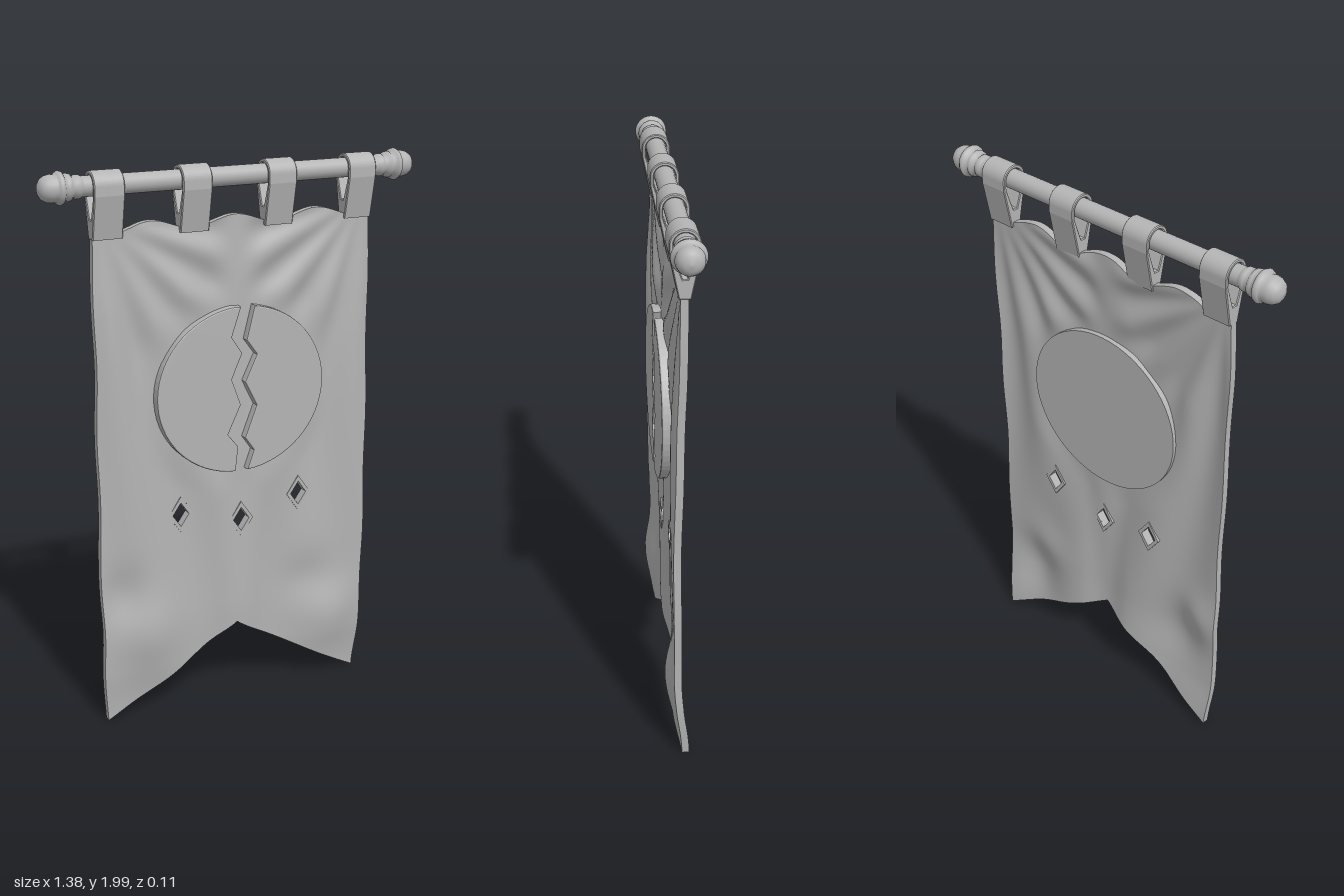
import * as THREE from 'three';

const DIAMONDS = [[-0.215, 0.765], [0.015, 0.715], [0.25, 0.775]];
const smooth = THREE.MathUtils.smoothstep;
const bump = (x, y, cx, cy, rx, ry) => Math.exp(-(((x - cx) / rx) ** 2) - ((y - cy) / ry) ** 2);

// Depth of the cloth's middle surface: folds fan out from the top corners
function foldZ(x, y) {
  const drop = Math.max(1.85 - y, 0.02);
  const a = Math.atan2(0.5 - Math.abs(x), drop);
  const r = Math.hypot(0.5 - Math.abs(x), drop);
  const s = x < 0 ? 0 : 0.7;
  let z = 0.011 * Math.sin(a * 17 + s) * smooth(r, 0.05, 0.5) * smooth(Math.abs(x), 0, 0.12);
  z += 0.005 * Math.sin(x * 21 + y * 4) * smooth(1.9 - y, 0, 0.6);
  // calm area behind the emblem
  const d = Math.hypot(x / 0.32, (y - 1.21) / 0.3);
  z *= 0.15 + 0.85 * smooth(d, 0.85, 1.35);
  // billows in the lower corners
  z += 0.022 * bump(x, y, -0.36, 0.33, 0.12, 0.14) + 0.02 * bump(x, y, 0.4, 0.27, 0.1, 0.12);
  z -= 0.018 * bump(x, y, -0.44, 0.5, 0.08, 0.1) + 0.018 * bump(x, y, 0.3, 0.42, 0.1, 0.1);
  return z + 0.01 * smooth(y, 0.1, 0.4) * smooth(1.9 - y, 0.05, 0.4) - 0.015 * (1 - smooth(y, 0, 0.2));
}

// Swallow-tailed cloth with diamond openings
function clothGeometry() {
  const geo = new THREE.BoxGeometry(1, 1, 0.026, 86, 130, 1);
  const p = geo.attributes.position;
  for (let i = 0; i < p.count; i++) {
    const u = p.getX(i) * 2, v = p.getY(i) + 0.5;
    const top = 1.8 + 0.018 * Math.cos(u * 0.52 * 20.2);
    const bottom = 0.31 - 0.3 * Math.pow(Math.abs(u), 0.93);
    const y = bottom + (top - bottom) * v;
    const half = 0.52 - 0.014 * (1 - smooth(y, 0, 0.25)) + 0.003 * Math.sin(y * 13);
    const x = u * half;
    p.setXYZ(i, x, y, p.getZ(i) + foldZ(x, y));
  }
  const old = geo.index.array, kept = [];
  for (let i = 0; i < old.length; i += 3) {
    const t = [old[i], old[i + 1], old[i + 2]];
    const cx = t.reduce((s, k) => s + p.getX(k) / 3, 0);
    const cy = t.reduce((s, k) => s + p.getY(k) / 3, 0);
    if (!DIAMONDS.some(([x, y]) => Math.abs(cx - x) / 0.039 + Math.abs(cy - y) / 0.056 < 1)) kept.push(...t);
  }
  geo.setIndex(kept);
  geo.clearGroups();
  geo.computeVertexNormals();
  return geo;
}

const diamond = (w, h) => [[0, h], [-w, 0], [0, -h], [w, 0]].map(([x, y]) => new THREE.Vector2(x, y));

// Half of the split emblem: jagged inner edge closed by an elliptical arc
function emblemHalf(edge, side) {
  const pts = edge.map(([x, y]) => new THREE.Vector2(x, y));
  const cx = 0.005, cy = 1.208, rx = 0.318, ry = 0.298;
  const angle = ([x, y]) => Math.atan2((y - cy) / ry, (side * (x - cx)) / rx);
  const a0 = angle(edge[edge.length - 1]), a1 = angle(edge[0]);
  for (let i = 1; i < 32; i++) {
    const a = a0 + ((a1 - a0) * i) / 32;
    pts.push(new THREE.Vector2(cx + side * rx * Math.cos(a), cy + ry * Math.sin(a)));
  }
  return new THREE.ExtrudeGeometry(new THREE.Shape(pts), {
    depth: 0.043, bevelThickness: 0.006, bevelSize: 0.005, bevelOffset: -0.003, bevelSegments: 2,
  });
}

export function createModel() {
  const group = new THREE.Group();
  const grey = new THREE.MeshStandardMaterial({ color: 0xb4b4b4 });
  grey.name = 'plain grey';
  const add = (name, geo, x = 0, y = 0, z = 0) => {
    const mesh = new THREE.Mesh(geo, grey);
    mesh.name = name;
    mesh.position.set(x, y, z);
    group.add(mesh);
    return mesh;
  };

  add('cloth', clothGeometry());

  // Emblem, split on the front and whole on the back
  const leftEdge = [[0, 1.503], [-0.035, 1.4], [0.005, 1.34], [-0.035, 1.25], [0, 1.155], [-0.05, 1.05], [-0.01, 1], [-0.02, 0.912]];
  const rightEdge = [[0.055, 1.503], [0.025, 1.385], [0.065, 1.33], [0.02, 1.235], [0.065, 1.145], [0.02, 1.03], [0.055, 0.98], [0.03, 0.912]];
  add('emblemRightHalf', emblemHalf(leftEdge, -1), 0, 0, 0.003);
  add('emblemLeftHalf', emblemHalf(rightEdge, 1), 0, 0, 0.003);
  const disc = new THREE.CylinderGeometry(1, 1, 0.024, 64).rotateX(Math.PI / 2).scale(0.32, 0.3, 1);
  add('emblemBack', disc, 0.005, 1.208, -0.009);

  // Rims of the diamond openings
  const rim = new THREE.Shape(diamond(0.047, 0.067));
  rim.holes.push(new THREE.Path(diamond(0.031, 0.045).reverse()));
  const rimGeo = new THREE.ExtrudeGeometry(rim, { depth: 0.034, bevelEnabled: false }).translate(0, 0, -0.017);
  for (const [x, y] of DIAMONDS) add('diamondRim', rimGeo, x, y, foldZ(x, y));

  // Hanging rod
  const rodY = 1.945;
  add('rod', new THREE.CylinderGeometry(0.034, 0.034, 1.16, 24).rotateZ(Math.PI / 2), 0, rodY);

  // Turned finials at both ends
  const profile = [[0.034, 0.545], [0.039, 0.555], [0.039, 0.567], [0.033, 0.575], [0.044, 0.585], [0.046, 0.596],
    [0.041, 0.604], [0.053, 0.612], [0.056, 0.621], [0.051, 0.63], [0.044, 0.634], [0.046, 0.648],
    [0.043, 0.664], [0.034, 0.679], [0.02, 0.688], [0, 0.691]];
  const finial = new THREE.LatheGeometry(profile.map(([r, x]) => new THREE.Vector2(r, x)), 28).rotateZ(-Math.PI / 2);
  add('leftFinial', finial, 0, rodY);
  add('rightFinial', finial, 0, rodY).rotation.y = Math.PI;

  // Cloth loops over the rod: teardrop section, extruded along x
  const teardrop = (r, cy, bottom, foot, path) => {
    path.moveTo(foot, bottom);
    path.lineTo(r, cy - 0.03);
    path.absarc(0, cy, r, 0, Math.PI, false);
    path.lineTo(-r, cy - 0.03);
    path.lineTo(-foot, bottom);
    path.closePath();
    return path;
  };
  const loop = teardrop(0.049, rodY, 1.77, 0.019, new THREE.Shape());
  loop.holes.push(teardrop(0.036, rodY, 1.835, 0.008, new THREE.Path()));
  const loopGeo = new THREE.ExtrudeGeometry(loop, {
    depth: 0.1, bevelThickness: 0.003, bevelSize: 0.003, bevelOffset: -0.003, bevelSegments: 1, curveSegments: 16,
  }).translate(0, 0, -0.05).rotateY(Math.PI / 2);
  for (const x of [-0.465, -0.155, 0.16, 0.47]) add('hangingLoop', loopGeo, x);

  return group;
}
